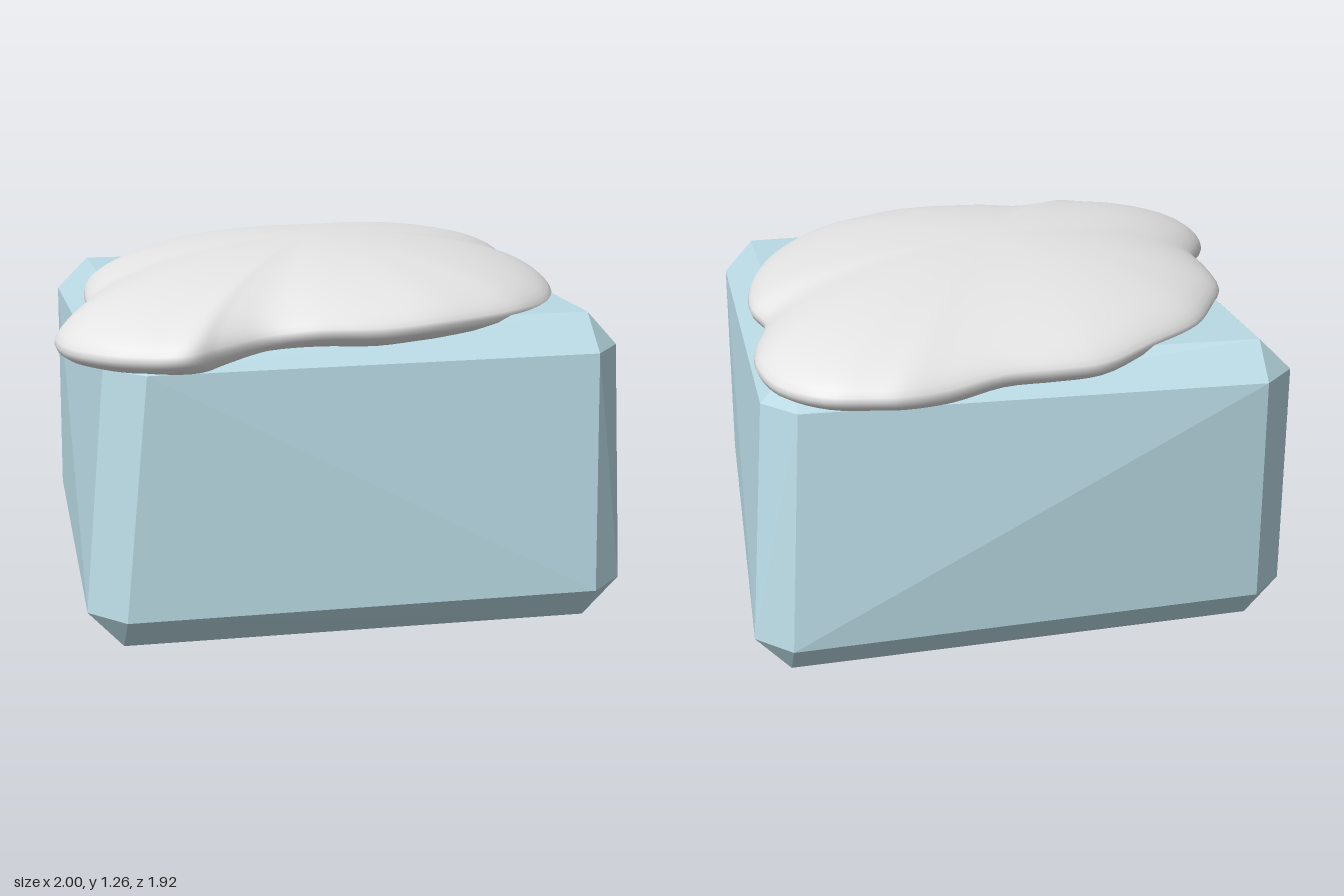
import * as THREE from 'three';
import { ConvexGeometry } from 'three/addons/geometries/ConvexGeometry.js';

const ice = new THREE.MeshStandardMaterial({ color: 0xb9dae4 });
ice.name = 'paleIceBlue';
const snow = new THREE.MeshStandardMaterial({ color: 0xe4e4e4 });
snow.name = 'snowWhite';

// Uneven bevelled block: each corner has one point on the side face (xo, zi),
// one on the front or back face (xi, zo) and one on the top or bottom face (xi, zi).
function blockGeometry() {
  const lower = [
    [0.93, 0.80, 0.96, 0.84],
    [-0.94, -0.82, 0.92, 0.79],
    [1.0, 0.88, -0.91, -0.79],
    [-0.90, -0.78, -0.87, -0.76],
  ];
  const upper = [
    [0.93, 0.82, 0.86, 0.73],
    [-0.86, -0.73, 0.86, 0.73],
    [0.93, 0.82, -0.80, -0.68],
    [-0.89, -0.77, -0.88, -0.77],
  ];
  const points = [];
  const addCorners = (corners, yRing, yCap) => {
    for (const [xo, xi, zo, zi] of corners) {
      points.push(
        new THREE.Vector3(xo, yRing, zi),
        new THREE.Vector3(xi, yRing, zo),
        new THREE.Vector3(xi, yCap, zi),
      );
    }
  };
  addCorners(lower, 0.13, 0);
  addCorners(upper, 0.95, 1.07);
  return new ConvexGeometry(points);
}

// Rim of the snow cap: x, height of the widest point, z
const rim = [
  [-1.0, 1.0, 0.55], [-0.97, 1.0, 0.7], [-0.85, 1.0, 0.84], [-0.7, 1.0, 0.91],
  [-0.6, 1.01, 0.935], [-0.5, 1.02, 0.89], [-0.33, 1.04, 0.83], [-0.15, 1.06, 0.855],
  [0.05, 1.06, 0.88], [0.25, 1.07, 0.86], [0.45, 1.07, 0.78], [0.6, 1.07, 0.69],
  [0.75, 1.06, 0.52], [0.84, 1.06, 0.32], [0.89, 1.06, 0.1], [0.9, 1.06, -0.1],
  [0.865, 1.05, -0.23], [0.92, 1.04, -0.45], [0.93, 1.04, -0.62], [0.88, 1.03, -0.78],
  [0.75, 1.03, -0.91], [0.6, 1.03, -0.95], [0.5, 1.03, -0.965], [0.35, 1.03, -0.94],
  [0.15, 1.05, -0.89], [-0.05, 1.05, -0.88], [-0.2, 1.05, -0.86], [-0.4, 1.07, -0.75],
  [-0.6, 1.07, -0.6], [-0.72, 1.07, -0.42], [-0.82, 1.06, -0.22], [-0.85, 1.05, 0.0],
  [-0.86, 1.04, 0.18], [-0.93, 1.02, 0.33], [-0.985, 1.0, 0.45],
];

// Pillow-like cap: rings shrink from the rim to a dome above and a shallow lip below
function snowGeometry() {
  const around = 140, steps = 16, lipSteps = 6;
  const peak = 1.26, lip = 0.08;
  const curve = new THREE.CatmullRomCurve3(rim.map((p) => new THREE.Vector3(...p)), true);
  const outline = curve.getPoints(around).slice(0, around);
  const rings = [];
  for (let i = 0; i <= steps; i++) {
    const s = Math.sin((i / steps) * Math.PI / 2);
    const rise = Math.pow(Math.max(0, 1 - s * s), 0.57);
    rings.push([s, (y) => y + (peak - y) * rise]);
  }
  for (let i = 1; i <= lipSteps; i++) {
    const a = (i / lipSteps) * Math.PI / 2;
    rings.push([0.74 + 0.26 * Math.cos(a), (y) => y - lip * Math.sin(a)]);
  }
  rings.push([0, () => 0.97]);

  const positions = [], index = [];
  rings.forEach(([s, height], r) => {
    outline.forEach((p, k) => {
      positions.push(p.x * s, height(p.y), p.z * s);
      if (r === rings.length - 1) return;
      const next = (k + 1) % around;
      const a = r * around + k, b = r * around + next;
      const c = a + around, d = b + around;
      if (r > 0) index.push(a, d, b);
      if (r < rings.length - 2) index.push(a, c, d);
      else index.push(a, c, b);
    });
  });
  const geometry = new THREE.BufferGeometry();
  geometry.setAttribute('position', new THREE.Float32BufferAttribute(positions, 3));
  geometry.setIndex(index);
  geometry.computeVertexNormals();
  // The collapsed end rings point straight up and down
  const normals = geometry.attributes.normal;
  for (let k = 0; k < around; k++) {
    normals.setXYZ(k, 0, 1, 0);
    normals.setXYZ((rings.length - 1) * around + k, 0, -1, 0);
  }
  return geometry;
}

export function createModel() {
  const model = new THREE.Group();
  model.name = 'snowCappedIceBlock';
  const block = new THREE.Mesh(blockGeometry(), ice);
  block.name = 'iceBlock';
  const cap = new THREE.Mesh(snowGeometry(), snow);
  cap.name = 'snowCap';
  model.add(block, cap);
  return model;
}
